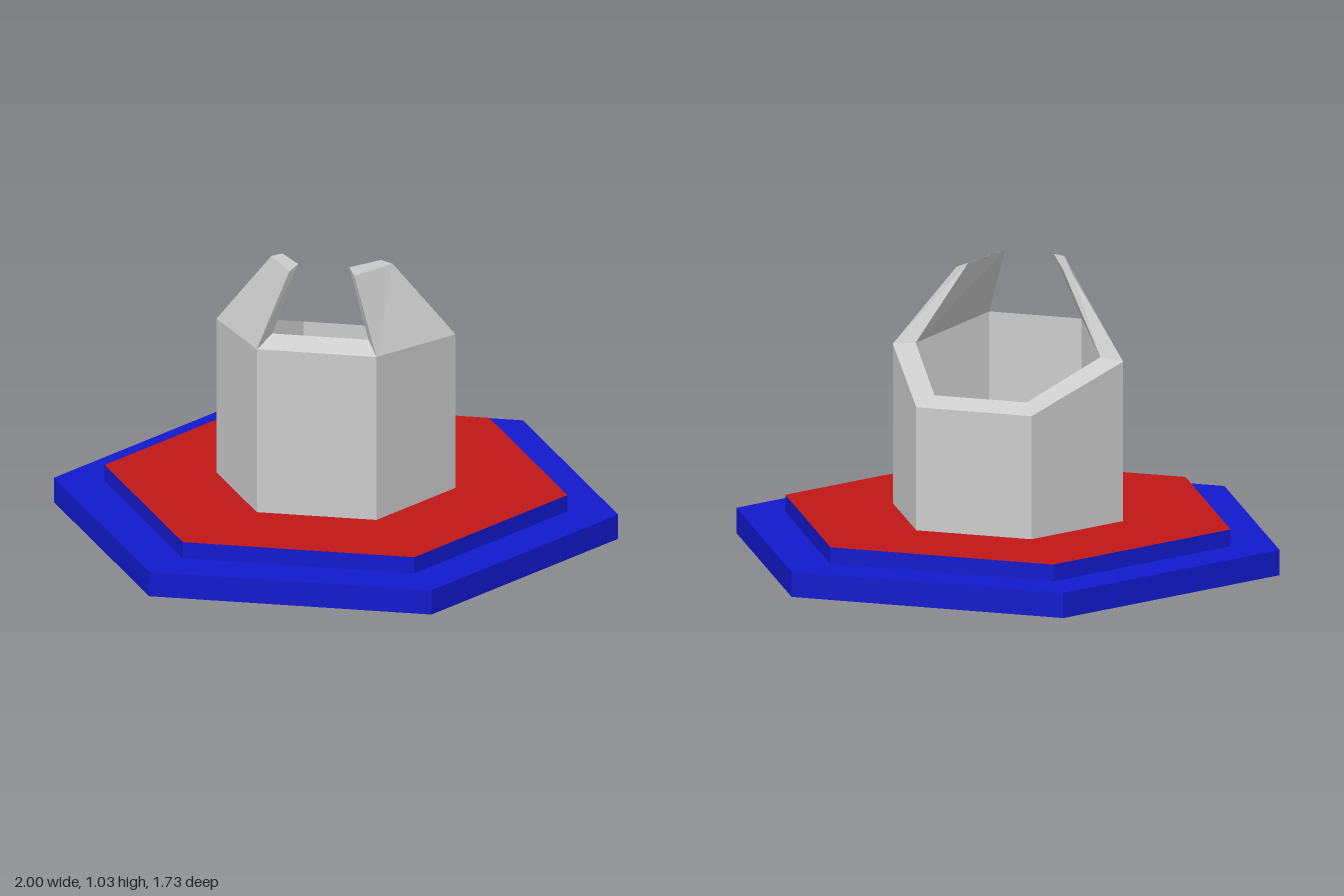
import * as THREE from 'three';

const grey = new THREE.MeshStandardMaterial({ color: 0xcccccc, flatShading: true });
const blue = new THREE.MeshStandardMaterial({ color: 0x1219cc, flatShading: true });
const red = new THREE.MeshStandardMaterial({ color: 0xc01616, flatShading: true });
const dark = new THREE.MeshStandardMaterial({ color: 0x34342e, flatShading: true });

// Flat-shaded mesh from a list of four-cornered faces (counter-clockwise from outside)
function quadMesh(name, quads) {
  const pos = [];
  for (const [a, b, c, d] of quads) pos.push(...a, ...b, ...c, ...a, ...c, ...d);
  const g = new THREE.BufferGeometry();
  g.setAttribute('position', new THREE.Float32BufferAttribute(pos, 3));
  g.computeVertexNormals();
  const mesh = new THREE.Mesh(g, grey);
  mesh.name = name;
  return mesh;
}

// Hexagonal slab with corners on the x axis
function hexSlab(name, radius, y0, y1, side, top) {
  const g = new THREE.CylinderGeometry(radius, radius, y1 - y0, 6, 1, false, Math.PI / 6);
  const mesh = new THREE.Mesh(g, [side, top, side]);
  mesh.position.y = (y0 + y1) / 2;
  mesh.name = name;
  return mesh;
}

// Six corners of a hexagon; heights run from the side corner round by the front
function hexRing(radius, heights) {
  return heights.map((y, k) => {
    const a = (k * Math.PI) / 3;
    return [radius * Math.cos(a), y, radius * Math.sin(a)];
  });
}

export function createModel() {
  const model = new THREE.Group();

  // Stepped base
  model.add(hexSlab('lowerBase', 1, 0, 0.09, blue, blue));
  model.add(hexSlab('upperBase', 0.82, 0.09, 0.15, blue, red));

  // Hollow tower with a rim that slopes down to the back
  const R = 0.424, r = 0.34, base = 0.15;
  const outer = hexRing(R, [0.72, 0.755, 0.755, 0.72, 0.59, 0.59]);
  const inner = hexRing(r, [0.73, 0.79, 0.79, 0.73, 0.62, 0.62]);
  const drop = ([x, , z]) => [x, base, z];
  const walls = [];
  for (let k = 0; k < 6; k++) {
    const n = (k + 1) % 6;
    const [A, B, a, b] = [outer[k], outer[n], inner[k], inner[n]];
    walls.push([drop(B), drop(A), A, B], [drop(a), drop(b), b, a]);
    if (k !== 0 && k !== 2) walls.push([A, a, b, B]); // claws cover the other rims
  }
  model.add(quadMesh('towerWall', walls));
  model.add(hexSlab('towerFloor', r, base, 0.16, dark, dark));

  // Two claws leaning inwards from the front side walls
  const [A, B, a, b] = [outer[0], outer[1], inner[0], inner[1]];
  const C = [0.215, 0.995, 0.075], D = [0.115, 1.015, 0.27];
  const c = [0.175, 1.01, 0.083], d = [0.09, 1.03, 0.23];
  const clawFaces = [
    [B, A, C, D], // outside
    [a, b, d, c], // inside
    [A, a, c, C], // rear edge
    [b, B, D, d], // front edge
    [C, c, d, D], // tip
  ];
  const mirror = ([x, y, z]) => [-x, y, z];
  model.add(quadMesh('leftClaw', clawFaces));
  model.add(quadMesh('rightClaw', clawFaces.map((f) => f.map(mirror).reverse())));

  return model;
}
